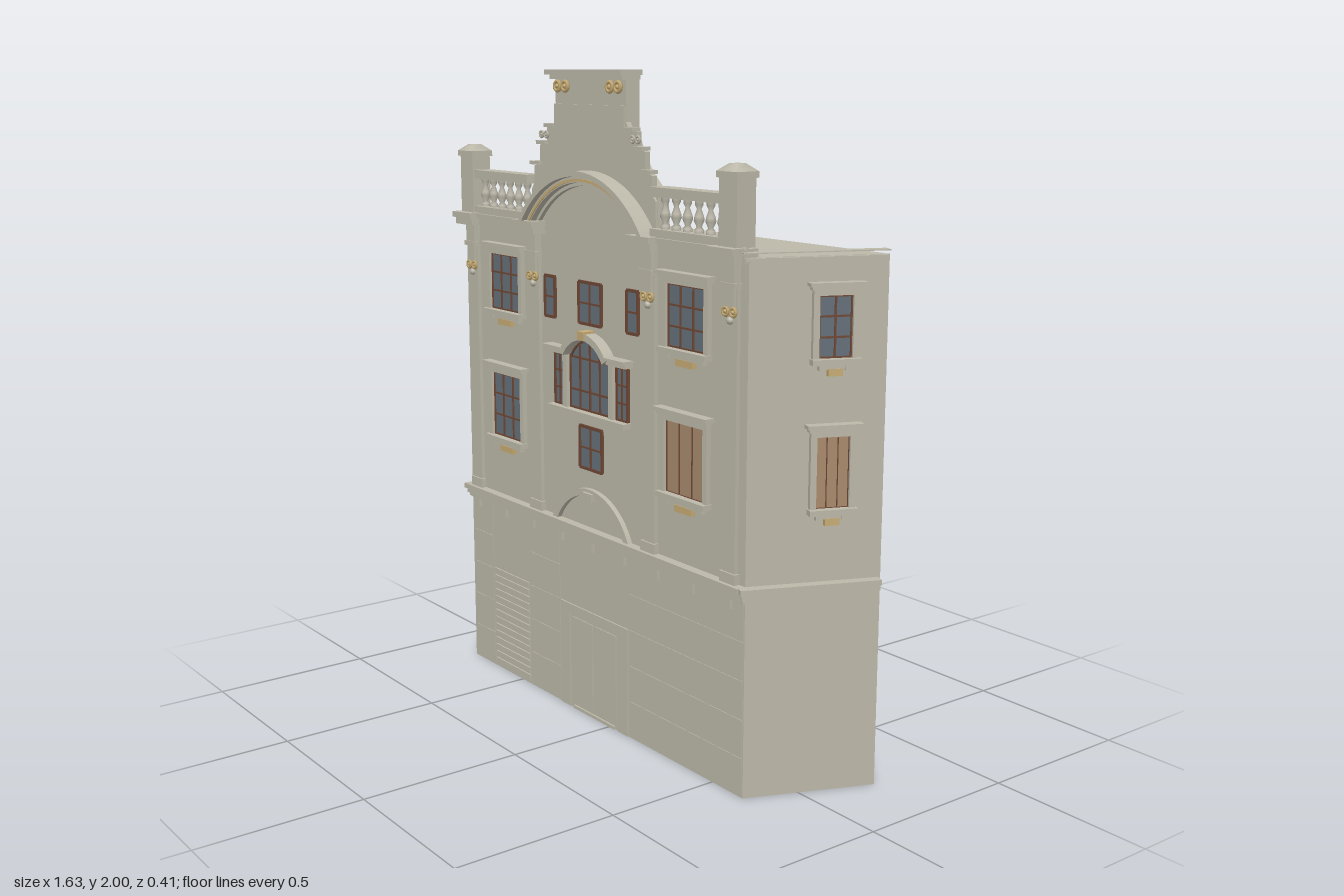
import * as THREE from 'three';

const mat = (name, color) => {
  const m = new THREE.MeshStandardMaterial({ color });
  m.name = name;
  return m;
};

export function createModel() {
  const stone = mat('stone', 0xbcb8a9);
  const glass = mat('glass', 0x65707a);
  const wood = mat('window wood', 0x6e4836);
  const board = mat('shutter board', 0xa88a6c);
  const gold = mat('gilding', 0xc6ab74);
  const root = new THREE.Group();
  root.name = 'townHouse';
  const CX = -0.083, F = 0.15; // facade axis and front wall plane

  const add = (parent, name, geo, m = stone, x = 0, y = 0, z = 0) => {
    const mesh = new THREE.Mesh(geo, m);
    mesh.name = name;
    mesh.position.set(x, y, z);
    parent.add(mesh);
    return mesh;
  };
  // Box given by its limits
  const box = (p, name, x0, x1, y0, y1, z0, z1, m = stone) =>
    add(p, name, new THREE.BoxGeometry(x1 - x0, y1 - y0, z1 - z0), m, (x0 + x1) / 2, (y0 + y1) / 2, (z0 + z1) / 2);
  const slab = (shape, depth) => new THREE.ExtrudeGeometry(shape, { depth, bevelEnabled: false, curveSegments: 20 });
  const poly = pts => new THREE.Shape(pts.map(p => new THREE.Vector2(...p)));
  // Arched band, symmetric about the vertical
  const arch = (p, name, x, cy, r0, r1, a, z0, z1, m = stone) => {
    const s = new THREE.Shape();
    s.absarc(0, 0, r1, a, Math.PI - a, false);
    s.absarc(0, 0, r0, Math.PI - a, a, true);
    s.closePath();
    return add(p, name, slab(s, z1 - z0), m, x, cy, z0);
  };
  // Pair of small scrolls
  const scrolls = (p, name, x, y, z, r, m) => {
    for (const s of [-1, 1]) {
      add(p, name, new THREE.TorusGeometry(r * 0.7, r * 0.3, 6, 12), m, x + s * r, y, z);
      add(p, name + 'Eye', new THREE.SphereGeometry(r * 0.4, 8, 6), m, x + s * r, y, z);
    }
  };

  // Main block with a slanted right side
  const body = slab(poly([[-0.81, 0.21], [-0.8, -F], [0.635, -F], [0.79, 0.21]]), 1.52);
  body.rotateX(-Math.PI / 2);
  add(root, 'mainBlock', body);

  // Slanted wall frame: local z points out of the wall
  const side = new THREE.Group();
  side.name = 'sideWall';
  side.position.set(0.7125, 0, -0.03);
  side.rotation.y = Math.atan2(0.36, 0.155);
  root.add(side);
  const front = new THREE.Group();
  front.name = 'frontWall';
  front.position.z = F;
  root.add(front);

  // Glazing with wooden bars, centred at x, y
  function sash(p, x, y, w, h, cols, rows, boarded) {
    box(p, boarded ? 'boardedPane' : 'pane', x - w / 2, x + w / 2, y - h / 2, y + h / 2, -0.005, 0.003, boarded ? board : glass);
    const t = boarded ? 0.003 : 0.009, z = 0.007;
    for (let i = 0; i <= cols; i++) {
      const bx = x - w / 2 + (w * i) / cols;
      const b = i % cols ? t * 0.6 : t;
      box(p, 'windowBar', bx - b / 2, bx + b / 2, y - h / 2, y + h / 2, 0, z, wood);
    }
    for (let j = 0; j <= rows; j++) {
      const by = y - h / 2 + (h * j) / rows;
      const b = j % rows ? t * 0.6 : t;
      box(p, 'windowBar', x - w / 2, x + w / 2, by - b / 2, by + b / 2, 0, z, wood);
    }
  }
  // Window with stone surround, hood, sill and keyed apron
  function dressedWindow(p, x, y, w, h, cols, rows, boarded) {
    sash(p, x, y, w, h, cols, rows, boarded);
    const a = w / 2, b = h / 2;
    for (const s of [-1, 1]) {
      const e = [x + s * a, x + s * (a + 0.018)].sort((m, n) => m - n);
      box(p, 'jamb', e[0], e[1], y - b, y + b, 0, 0.016);
      const c = x + s * (a - 0.01);
      box(p, 'sillBracket', c - 0.01, c + 0.01, y - b - 0.032, y - b - 0.016, 0, 0.018);
    }
    box(p, 'lintel', x - a - 0.018, x + a + 0.018, y + b, y + b + 0.018, 0, 0.016);
    box(p, 'hood', x - a - 0.025, x + a + 0.025, y + b + 0.016, y + b + 0.026, 0, 0.024);
    box(p, 'hoodCap', x - a - 0.032, x + a + 0.032, y + b + 0.026, y + b + 0.036, 0, 0.032);
    box(p, 'sill', x - a - 0.022, x + a + 0.022, y - b - 0.016, y - b, 0, 0.03);
    box(p, 'apron', x - a + 0.02, x + a - 0.02, y - b - 0.03, y - b - 0.016, 0, 0.014);
    box(p, 'apronKey', x - w * 0.22, x + w * 0.22, y - b - 0.048, y - b - 0.028, 0, 0.016, gold);
  }
  dressedWindow(front, -0.553, 1.33, 0.17, 0.18, 3, 3);
  dressedWindow(front, 0.38, 1.33, 0.17, 0.18, 3, 3);
  dressedWindow(front, -0.553, 0.925, 0.17, 0.21, 3, 3);
  dressedWindow(front, 0.377, 0.925, 0.175, 0.21, 3, 1, true);
  dressedWindow(side, 0.045, 1.33, 0.095, 0.17, 2, 3);
  dressedWindow(side, 0.045, 0.93, 0.095, 0.2, 3, 1, true);

  // Plain windows of the centre bay
  sash(front, -0.302, 1.315, 0.054, 0.125, 1, 2);
  sash(front, 0.126, 1.315, 0.054, 0.125, 1, 2);
  sash(front, -0.088, 1.315, 0.115, 0.125, 2, 2);
  sash(front, -0.088, 0.87, 0.115, 0.13, 2, 2);

  // Arched triple window
  const pane = new THREE.Shape();
  pane.moveTo(-0.105, -0.11);
  pane.lineTo(0.105, -0.11);
  pane.lineTo(0.105, 0.05);
  pane.quadraticCurveTo(0.085, 0.11, 0, 0.11);
  pane.quadraticCurveTo(-0.085, 0.11, -0.105, 0.05);
  add(front, 'archedPane', slab(pane, 0.004), glass, CX - 0.004, 1.095, 0);
  for (let i = 0; i <= 4; i++) {
    const x = CX - 0.004 - 0.103 + i * 0.0515, top = [1.15, 1.185, 1.2, 1.185, 1.15][i];
    box(front, 'archedWindowBar', x - 0.003, x + 0.003, 0.985, top, 0, 0.008, wood);
  }
  for (const y of [0.988, 1.045, 1.145]) box(front, 'archedWindowRail', -0.192, 0.018, y - 0.003, y + 0.003, 0, 0.008, wood);
  arch(front, 'archedWindowHead', CX - 0.004, 1.087, 0.112, 0.118, 0.55, 0, 0.008, wood);
  for (const s of [-1, 1]) {
    const x = CX - 0.004 + s * 0.162;
    sash(front, x, 1.065, 0.055, 0.16, 2, 3);
    box(front, 'windowMullion', CX - 0.004 + s * 0.12 - 0.011, CX - 0.004 + s * 0.12 + 0.011, 0.985, 1.15, 0, 0.018);
    box(front, 'sideHood', x - 0.047, x + 0.047, 1.15, 1.163, 0, 0.03);
    box(front, 'sideHoodCap', x - 0.05, x + 0.05, 1.163, 1.172, 0, 0.038);
  }
  arch(front, 'archedHood', CX - 0.004, 1.087, 0.12, 0.142, 0.55, 0, 0.036);
  box(front, 'tripleSill', -0.285, 0.113, 0.968, 0.984, 0, 0.03);
  box(front, 'hoodKey', -0.103, -0.071, 1.21, 1.235, 0, 0.042, gold);

  // Blind arch above the street door
  arch(front, 'blindArch', CX, 0.523, 0.2, 0.222, 0.45, 0, 0.016);
  box(front, 'blindArchKey', CX - 0.024, CX + 0.024, 0.712, 0.735, 0, 0.026);

  // Pilasters with capitals and gilded scrolls
  for (const d of [-0.66, -0.297, 0.297, 0.66]) {
    const x = CX + d;
    box(front, 'pilaster', x - 0.026, x + 0.026, 0.62, 1.52, 0, 0.012);
    box(front, 'pilasterBase', x - 0.033, x + 0.033, 0.62, 0.65, 0, 0.018);
    box(front, 'capitalNeck', x - 0.02, x + 0.02, 1.385, 1.435, 0, 0.02);
    box(front, 'capital', x - 0.03, x + 0.03, 1.435, 1.45, 0, 0.026);
    box(front, 'capitalBlock', x - 0.025, x + 0.025, 1.45, 1.505, 0, 0.022);
    scrolls(front, 'capitalScroll', x, 1.372, 0.018, 0.016, gold);
    add(front, 'capitalDrop', new THREE.SphereGeometry(0.011, 8, 6), stone, x, 1.348, 0.014);
    box(front, 'corniceBreak', x - 0.05, x + 0.05, 1.505, 1.527, 0, 0.045);
    box(front, 'corniceBreakCap', x - 0.055, x + 0.055, 1.527, 1.545, 0, 0.055);
  }

  // Middle and top cornices: [y0, y1, projection]
  for (const [y0, y1, d] of [[0.575, 0.587, 0.012], [0.587, 0.604, 0.02], [0.604, 0.62, 0.03]]) {
    box(front, 'middleCornice', -0.8 - d * 0.2, 0.637, y0, y1, 0, d);
    box(side, 'sideMiddleCornice', -0.2 - d * 0.6, 0.19, y0, y1, -0.005, d);
  }
  for (const [y0, y1, d] of [[1.505, 1.527, 0.018], [1.527, 1.543, 0.03]]) {
    box(front, 'topCornice', -0.8, -0.36, y0, y1, -0.03, d);
    box(front, 'topCornice', 0.195, 0.637, y0, y1, -0.03, d);
    box(side, 'sideTopCornice', -0.2 - d * 0.6, 0.19, y0 + 0.005, y1 - 0.008, -0.012, d - 0.005);
  }
  for (let i = 0; i < 9; i++) {
    const x = CX + (i - 4) * 0.1655;
    box(front, 'corniceBracket', x - 0.006, x + 0.006, 0.545, 0.576, 0, 0.012);
  }

  // Street level: shallow stone courses, roller shutter and door
  for (const [x0, x1] of [[-0.79, -0.67], [-0.44, -0.27], [0.105, 0.63]])
    for (let i = 0; i < 5; i++) box(front, 'stoneCourse', x0, x1, 0.005 + i * 0.114, 0.117 + i * 0.114, -0.002, 0.002);
  for (let i = 0; i < 14; i++) box(front, 'rollerSlat', -0.66, -0.45, 0.01 + i * 0.0246, 0.031 + i * 0.0246, 0, 0.005);
  for (const s of [-1, 1]) {
    const c = CX + s * 0.155;
    box(front, 'doorPost', c - 0.025, c + 0.025, 0, 0.33, 0, 0.004);
    const l = CX + s * 0.062;
    box(front, 'doorLeaf', l - 0.055, l + 0.055, 0.02, 0.305, 0, 0.003);
  }
  box(front, 'doorHead', CX - 0.18, CX + 0.18, 0.318, 0.345, 0, 0.005);
  box(front, 'doorStep', CX - 0.11, CX + 0.11, 0, 0.01, 0, 0.006);

  // Gable: smooth back plate and stepped front plate
  const gable = new THREE.Shape();
  gable.moveTo(-0.325, 1.5);
  gable.lineTo(0.325, 1.5);
  gable.lineTo(0.315, 1.66);
  gable.quadraticCurveTo(0.2, 1.74, 0.178, 1.84);
  gable.lineTo(0.178, 1.985);
  gable.lineTo(-0.178, 1.985);
  gable.lineTo(-0.178, 1.84);
  gable.quadraticCurveTo(-0.2, 1.74, -0.315, 1.66);
  add(root, 'gableBack', slab(gable, 0.04), stone, CX, 0, 0.105);
  const half = [[0.32, 1.515], [0.315, 1.64], [0.3, 1.66], [0.3, 1.71], [0.268, 1.72], [0.268, 1.775], [0.228, 1.785],
    [0.228, 1.83], [0.19, 1.835], [0.178, 1.855], [0.178, 1.98]];
  const mirrored = half.map(([x, y]) => [-x, y]).reverse();
  add(root, 'gableFront', slab(poly([...half, ...mirrored]), 0.017), stone, CX, 0, 0.135);
  box(front, 'gablePanel', CX - 0.176, CX + 0.176, 1.828, 1.9, 0, 0.01);
  box(front, 'gableCapBed', CX - 0.183, CX + 0.183, 1.972, 1.985, -0.045, 0.02);
  box(front, 'gableCap', CX - 0.193, CX + 0.193, 1.985, 2, -0.045, 0.032);
  for (const s of [-1, 1]) {
    scrolls(front, 'gableRosette', CX + s * 0.133, 1.952, 0.012, 0.02, gold);
    scrolls(front, 'gableScroll', CX + s * 0.232, 1.808, 0.01, 0.013, stone);
    for (const [r, y] of [[0.2, 1.83], [0.245, 1.778], [0.282, 1.715]])
      box(front, 'stepCap', CX + s * r - 0.024, CX + s * r + 0.024, y, y + 0.011, -0.015, 0.016);
  }

  // Segmental pediment arch with gilded line
  arch(front, 'pedimentArchCap', CX, 1.324, 0.37, 0.386, 0.6, 0, 0.055);
  arch(front, 'pedimentArch', CX, 1.324, 0.352, 0.37, 0.6, 0, 0.036);
  arch(front, 'pedimentGilding', CX, 1.324, 0.355, 0.363, 0.66, 0.034, 0.039, gold);
  arch(front, 'pedimentInnerArch', CX, 1.324, 0.342, 0.352, 0.62, 0, 0.016);

  // Balustrades with end piers
  const profile = [[0.013, 0], [0.013, 0.01], [0.007, 0.017], [0.015, 0.035], [0.013, 0.046], [0.006, 0.066], [0.012, 0.078], [0.012, 0.09]]
    .map(p => new THREE.Vector2(...p));
  const baluster = new THREE.LatheGeometry(profile, 10);
  for (const s of [-1, 1]) {
    const pier = CX + s * 0.662;
    box(root, 'pier', pier - 0.037, pier + 0.037, 1.54, 1.725, 0.113, 0.178);
    box(root, 'pierCap', pier - 0.043, pier + 0.043, 1.725, 1.742, 0.107, 0.184);
    const cap = new THREE.CylinderGeometry(0.022, 0.056, 0.02, 4);
    cap.rotateY(Math.PI / 4);
    add(root, 'pierTop', cap, stone, pier, 1.752, 0.146);
    const [x0, x1] = [CX + s * 0.315, CX + s * 0.63].sort((a, b) => a - b);
    box(root, 'bottomRail', x0, x1, 1.54, 1.566, 0.118, 0.172);
    box(root, 'topRail', x0, x1, 1.655, 1.682, 0.115, 0.172);
    for (let i = 0; i < 6; i++) add(root, 'baluster', baluster, stone, CX + s * (0.352 + i * 0.05), 1.566, 0.145);
  }
  return root;
}
